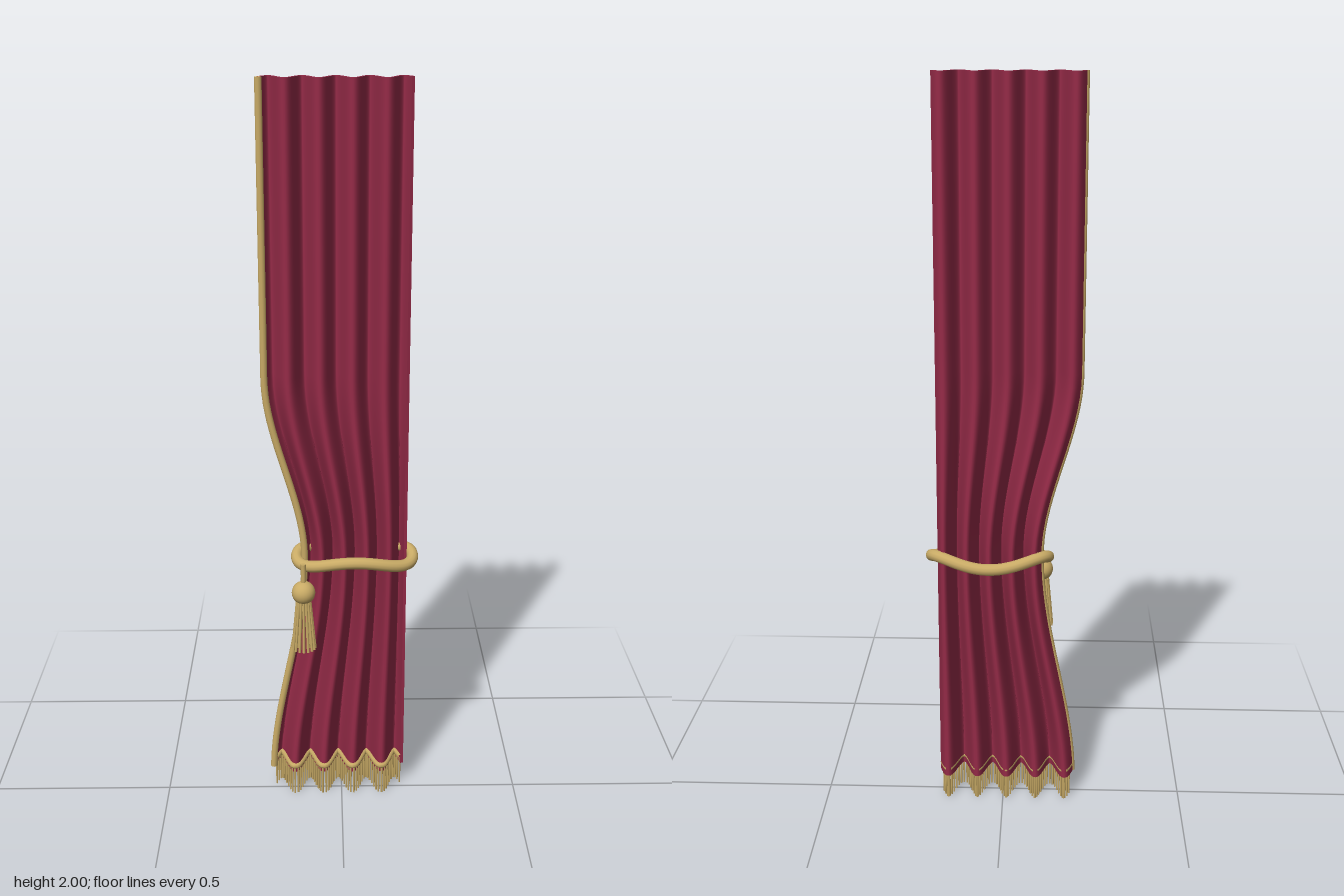
import * as THREE from 'three';
import { ParametricGeometry } from 'three/addons/geometries/ParametricGeometry.js';

const V = (x, y, z) => new THREE.Vector3(x, y, z);
const { smoothstep, lerp } = THREE.MathUtils;

const TOP = 2, HEM = 0.07, TIE = 0.73, RIGHT = 0.175, HALF = 0.004, FOLDS = 4.5;

// Gathered edge: pulled in at the tie, spread above and below it
const leftEdge = (y) => y > TIE
  ? lerp(-0.1, -0.202, smoothstep(y, TIE, 1.24))
  : lerp(-0.195, -0.1, smoothstep(y, 0.04, TIE));

// Fold depth grows towards the tie
const depth = (y) => y > TIE
  ? lerp(0.046, 0.031, smoothstep(y, TIE, 1.25))
  : lerp(0.04, 0.046, smoothstep(y, 0, TIE));

// Point in the cloth; s runs -1 (back face) to 1 (front face)
function cloth(u, y, s = 0) {
  const x0 = leftEdge(y), w = RIGHT - x0, a = depth(y);
  const k = FOLDS * Math.PI * 2;
  const slope = -a * k * Math.cos(k * u) / w;
  const len = Math.hypot(1, slope);
  return V(
    x0 + w * u - (slope / len) * HALF * s,
    y,
    -0.011 - a * Math.sin(k * u) + (1 / len) * HALF * s
  );
}

export function createModel() {
  const red = new THREE.MeshStandardMaterial({ name: 'wineVelvet', color: 0x962b48 });
  const gold = new THREE.MeshStandardMaterial({ name: 'goldCord', color: 0xc9ab66 });
  const model = new THREE.Group();
  model.name = 'tiedCurtain';

  const add = (parent, name, geometry, material) => {
    const mesh = new THREE.Mesh(geometry, material);
    mesh.name = name;
    parent.add(mesh);
    return mesh;
  };
  const group = (name) => {
    const g = new THREE.Group();
    g.name = name;
    model.add(g);
    return g;
  };
  const tube = (points, radius, steps, sides = 10, closed = false) =>
    new THREE.TubeGeometry(new THREE.CatmullRomCurve3(points, closed), steps, radius, sides, closed);

  // Rod between two points
  const rod = (parent, name, a, b, r0, r1, sides = 6) => {
    const dir = b.clone().sub(a);
    const m = add(parent, name, new THREE.CylinderGeometry(r0, r1, dir.length(), sides), gold);
    m.position.copy(a).add(b).multiplyScalar(0.5);
    m.quaternion.setFromUnitVectors(V(0, -1, 0), dir.normalize());
    return m;
  };

  // Pleated cloth: two faces and four thin edges
  const drape = group('drape');
  const Y = (v) => lerp(HEM, TOP, v);
  const S = (t) => t * 2 - 1;
  const faces = [
    ['drapeFront', (u, v) => cloth(u, Y(v), 1), 108, 56],
    ['drapeBack', (u, v) => cloth(1 - u, Y(v), -1), 108, 56],
    ['drapeTopEdge', (u, v) => cloth(u, TOP, -S(v)), 108, 1],
    ['drapeBottomEdge', (u, v) => cloth(u, HEM, S(v)), 108, 1],
    ['drapeLeftEdge', (u, v) => cloth(0, Y(v), S(u)), 1, 56],
    ['drapeRightEdge', (u, v) => cloth(1, Y(v), -S(u)), 1, 56],
  ];
  for (const [name, f, nu, nv] of faces) {
    add(drape, name, new ParametricGeometry((u, v, p) => p.copy(f(u, v)), nu, nv), red);
  }

  // Gold piping down the gathered edge
  const piping = [];
  for (let i = 0; i <= 40; i++) {
    const y = Y(i / 40);
    piping.push(V(leftEdge(y) - 0.001, y, -0.004));
  }
  add(model, 'edgePiping', tube(piping, 0.0095, 80), gold);
  for (const [name, p, turn] of [['pipingTopCap', piping[40], -1], ['pipingBottomCap', piping[0], 1]]) {
    const cap = add(model, name, new THREE.CircleGeometry(0.0095, 10), gold);
    cap.position.copy(p);
    cap.rotation.x = turn * Math.PI / 2;
  }

  // Hem braid and hanging fringe following the folds
  const hem = [];
  for (let i = 0; i <= 72; i++) hem.push(cloth(i / 72, 0.09, 0.8));
  add(model, 'hemBraid', tube(hem, 0.0085, 144, 8), gold);
  const fringe = group('fringe');
  const STRANDS = 64;
  for (let i = 0; i < STRANDS; i++) {
    const p = cloth((i + 0.5) / STRANDS, 0.085, 0.8);
    rod(fringe, 'fringeStrand', p, V(p.x, 0, p.z), 0.0035, 0.0025, 5);
  }

  // Undulating rope tieback
  const rope = [];
  for (let i = 0; i < 48; i++) {
    const t = (i / 48) * Math.PI * 2;
    rope.push(V(
      0.036 + 0.159 * Math.cos(t),
      0.727 + 0.011 * Math.cos(3 * (t - Math.PI / 2)),
      -0.015 + 0.076 * Math.sin(t)
    ));
  }
  add(model, 'tiebackRope', tube(rope, 0.016, 120, 12, true), gold);

  // Tassel: cord, ball, neck and flared strands
  const tassel = group('tassel');
  tassel.position.set(-0.104, 0, 0.07);
  rod(tassel, 'tasselCord', V(0, 0.74, 0), V(0, 0.68, 0), 0.007, 0.007, 8);
  add(tassel, 'tasselBall', new THREE.SphereGeometry(0.032, 24, 16), gold).position.y = 0.657;
  rod(tassel, 'tasselNeck', V(0, 0.64, 0), V(0, 0.61, 0), 0.018, 0.02, 16);
  for (const [count, r] of [[16, 1], [8, 0.5]]) {
    for (let i = 0; i < count; i++) {
      const t = (i / count) * Math.PI * 2, c = Math.cos(t) * r, s = Math.sin(t) * r;
      rod(tassel, 'tasselStrand', V(c * 0.017, 0.64, s * 0.017),
        V(c * 0.031, 0.49, s * 0.031), 0.004, 0.004);
    }
  }
  return model;
}
